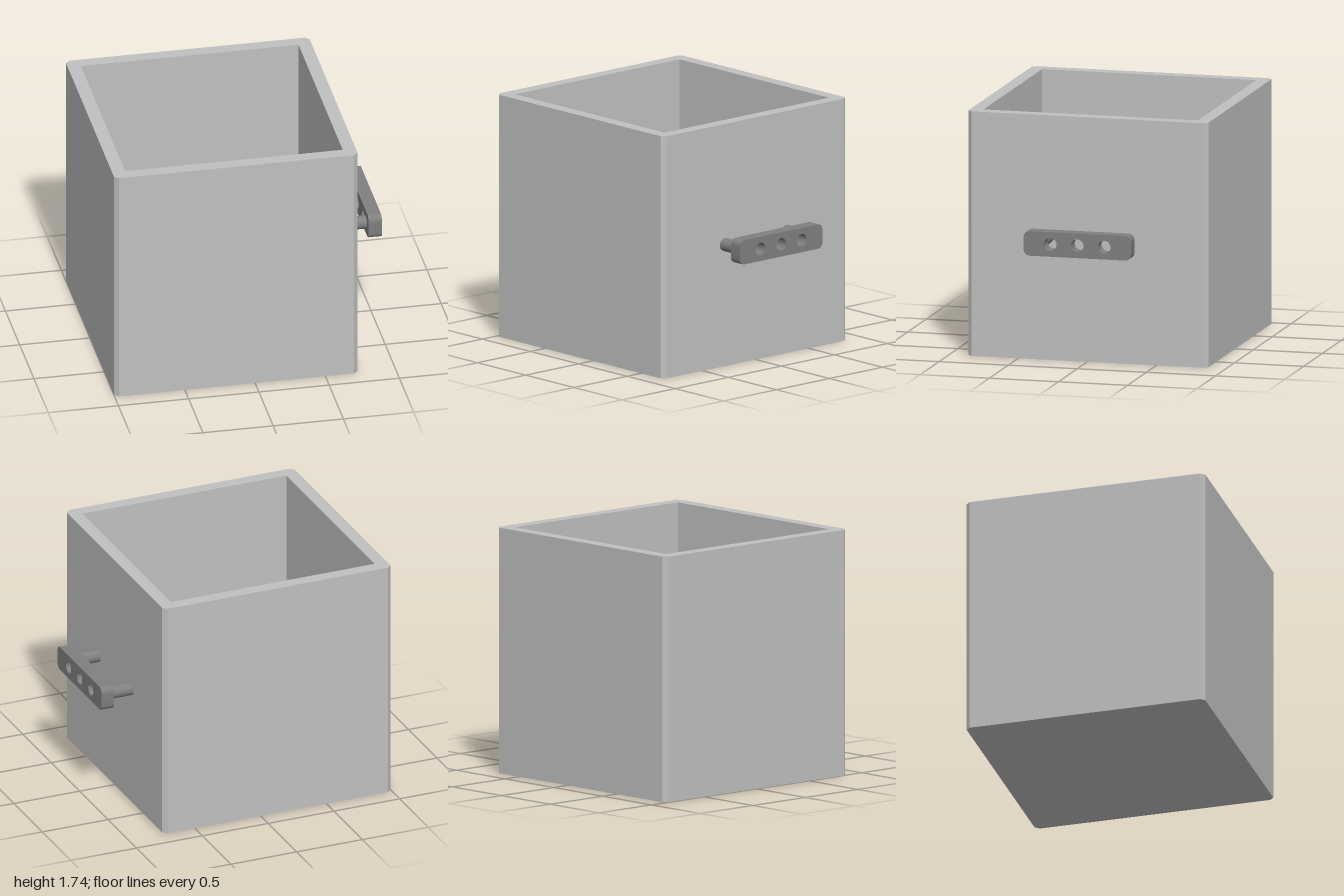
import * as THREE from 'three';
import { toCreasedNormals } from 'three/addons/utils/BufferGeometryUtils.js';

const MIN_X = -1, MAX_X = 0.735, HALF_Z = 0.868, HEIGHT = 1.737;
const WALL = 0.093, CHAMFER = 0.03;
const GRIP_Y = 0.873, GRIP_IN = 0.905, GRIP_OUT = 1;

// Square outline with cut corners
function chamferedOutline() {
  const c = CHAMFER;
  return new THREE.Shape([
    [MIN_X + c, -HALF_Z], [MAX_X - c, -HALF_Z], [MAX_X, -HALF_Z + c], [MAX_X, HALF_Z - c],
    [MAX_X - c, HALF_Z], [MIN_X + c, HALF_Z], [MIN_X, HALF_Z - c], [MIN_X, -HALF_Z + c],
  ].map(([x, y]) => new THREE.Vector2(x, y)));
}

// Extrude a plan outline upwards from height y
function extrudeUp(shape, y, depth) {
  return new THREE.ExtrudeGeometry(shape, { depth, bevelEnabled: false })
    .rotateX(-Math.PI / 2).translate(0, y, 0);
}

// Rounded bar outline with three round holes
function gripOutline() {
  const w = 0.388, h = 0.0875, r = 0.042;
  const s = new THREE.Shape();
  s.absarc(w - r, h - r, r, 0, Math.PI / 2);
  s.absarc(-w + r, h - r, r, Math.PI / 2, Math.PI);
  s.absarc(-w + r, -h + r, r, Math.PI, Math.PI * 1.5);
  s.absarc(w - r, -h + r, r, Math.PI * 1.5, Math.PI * 2);
  for (const x of [-0.195, 0, 0.195]) {
    s.holes.push(new THREE.Path().absarc(x, 0, 0.045, 0, Math.PI * 2, true));
  }
  return s;
}

export function createModel() {
  const model = new THREE.Group();
  const lightGrey = new THREE.MeshStandardMaterial({ color: 0xc0c0c0 });
  lightGrey.name = 'lightGrey';
  const darkGrey = new THREE.MeshStandardMaterial({ color: 0x808080 });
  darkGrey.name = 'darkGrey';

  const add = (name, geometry, material, parent = model) => {
    const mesh = new THREE.Mesh(geometry, material);
    mesh.name = name;
    parent.add(mesh);
    return mesh;
  };

  // Open box: floor slab and a ring of walls
  add('floor', extrudeUp(chamferedOutline(), 0, WALL), lightGrey);
  const ring = chamferedOutline();
  const x0 = MIN_X + WALL, x1 = MAX_X - WALL, z = HALF_Z - WALL;
  ring.holes.push(new THREE.Path([
    new THREE.Vector2(x0, -z), new THREE.Vector2(x0, z),
    new THREE.Vector2(x1, z), new THREE.Vector2(x1, -z),
  ]));
  add('walls', extrudeUp(ring, WALL, HEIGHT - WALL), lightGrey);

  // Handle: drilled grip on two round posts
  const handle = new THREE.Group();
  handle.name = 'handle';
  model.add(handle);
  const grip = new THREE.ExtrudeGeometry(gripOutline(), {
    depth: GRIP_OUT - GRIP_IN, bevelEnabled: false, curveSegments: 16,
  }).rotateY(Math.PI / 2).translate(GRIP_IN, GRIP_Y, 0);
  add('grip', toCreasedNormals(grip, 0.6), darkGrey, handle);
  const length = GRIP_IN - MAX_X;
  for (const side of [-1, 1]) {
    const post = new THREE.CylinderGeometry(0.047, 0.047, length, 32).rotateZ(Math.PI / 2);
    add(side > 0 ? 'frontPost' : 'backPost', post, darkGrey, handle)
      .position.set(MAX_X + length / 2, GRIP_Y, side * 0.29);
  }
  return model;
}
